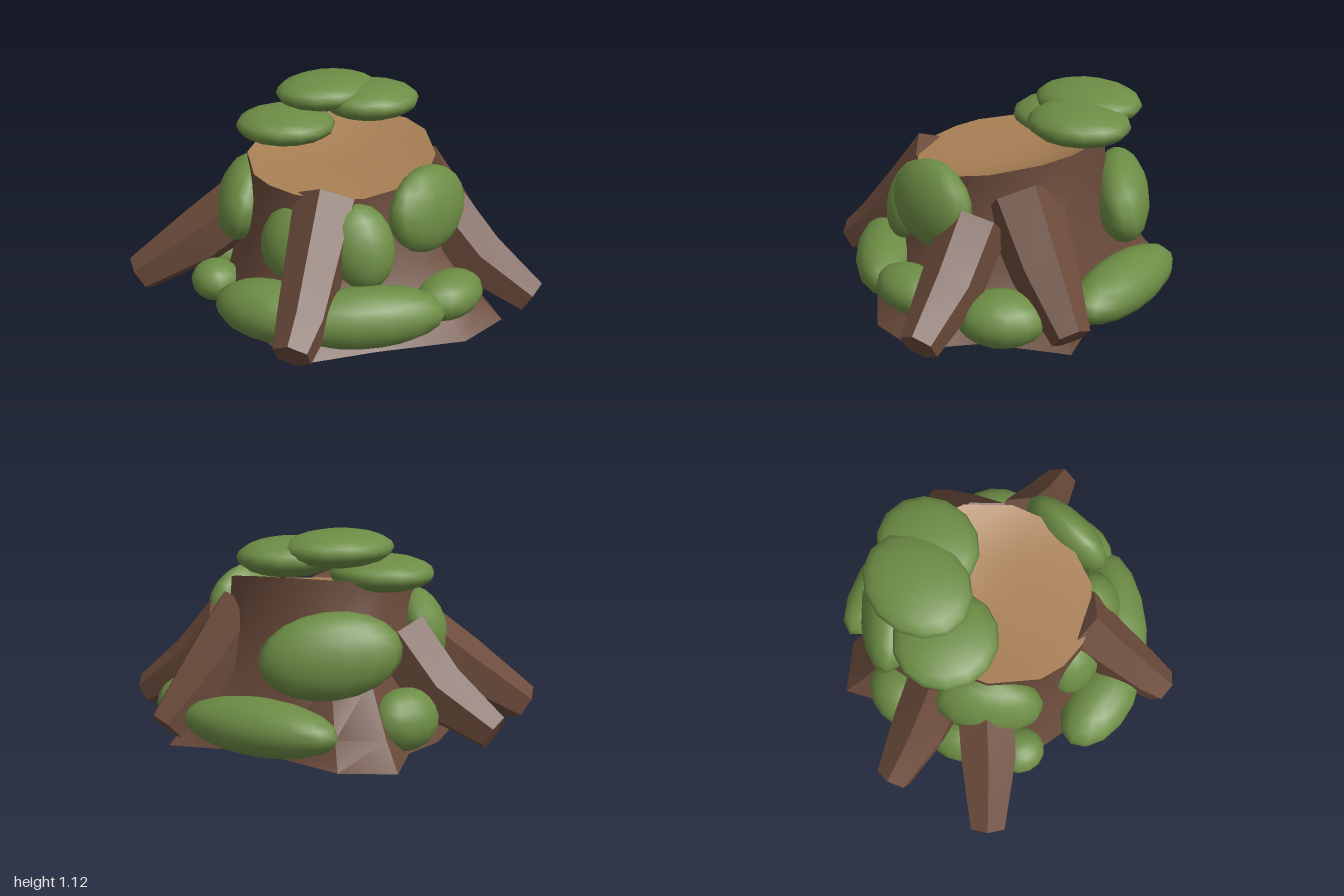
import * as THREE from 'three';
import { toCreasedNormals } from 'three/addons/utils/BufferGeometryUtils.js';

// Skin between equal rings of points, with optional fan caps at both ends
function loft(rings, capStart, capEnd, crease) {
  const n = rings[0].length, pos = [], idx = [];
  rings.forEach(r => r.forEach(p => pos.push(p.x, p.y, p.z)));
  for (let i = 0; i < rings.length - 1; i++) {
    for (let j = 0; j < n; j++) {
      const a = i * n + j, b = i * n + (j + 1) % n;
      idx.push(a, b, b + n, a, b + n, a + n);
    }
  }
  const cap = (i, flip) => {
    const c = rings[i].reduce((s, p) => s.add(p), new THREE.Vector3()).divideScalar(n);
    const k = pos.length / 3;
    pos.push(c.x, c.y, c.z);
    for (let j = 0; j < n; j++) {
      const a = i * n + j, b = i * n + (j + 1) % n;
      if (flip) idx.push(k, b, a); else idx.push(k, a, b);
    }
  };
  if (capStart) cap(0, true);
  if (capEnd) cap(rings.length - 1, false);
  const g = new THREE.BufferGeometry();
  g.setAttribute('position', new THREE.Float32BufferAttribute(pos, 3));
  g.setIndex(idx);
  return toCreasedNormals(g, crease);
}

// Six-sided tapering root along a bent path of [x, y, z, radius]
function rootGeometry(path) {
  const pts = path.map(p => new THREE.Vector3(p[0], p[1], p[2]));
  const rings = pts.map((c, i) => {
    const d = pts[Math.min(i + 1, pts.length - 1)].clone().sub(pts[Math.max(i - 1, 0)]).normalize();
    const v = new THREE.Vector3().crossVectors(d, new THREE.Vector3(0, 1, 0)).normalize();
    const u = new THREE.Vector3().crossVectors(v, d);
    return Array.from({ length: 6 }, (_, k) => {
      const a = k * Math.PI / 3, r = path[i][3];
      return c.clone().addScaledVector(u, r * Math.cos(a)).addScaledVector(v, r * Math.sin(a));
    });
  });
  return loft(rings, true, true, 0.2);
}

export function createModel() {
  const group = new THREE.Group();
  const material = (name, color) => {
    const m = new THREE.MeshStandardMaterial({ color });
    m.name = name;
    return m;
  };
  const bark = material('bark brown', 0x6b4b3b);
  const wood = material('cut wood tan', 0xa87f54);
  const moss = material('moss green', 0x6d8d45);
  const add = (name, geometry, mat) => {
    const mesh = new THREE.Mesh(geometry, mat);
    mesh.name = name;
    group.add(mesh);
    return mesh;
  };

  // Trunk: irregular flared foot blending into a round, slanted rim
  const foot = [
    [0, 0.68], [0.25, 0.73], [0.5, 0.72], [0.66, 0.4], [0.9, 0], [0.88, -0.32],
    [0.58, -0.48], [0.3, -0.83], [0, -0.64], [-0.3, -0.56], [-0.62, -0.52],
    [-0.83, -0.32], [-0.66, -0.05], [-0.64, 0.2], [-0.52, 0.46], [-0.2, 0.66],
  ];
  const rimHeight = (x, z) => 0.8 - 0.1 * x - 0.13 * z + 0.08 * z * z;
  const levels = [[0, 0], [0.15, 0.3], [0.45, 0.73], [0.8, 0.98], [1, 1]];
  const rings = levels.map(([t, blend]) => foot.map(([x, z]) => {
    const a = Math.atan2(x, z);
    const rx = 0.03 + 0.49 * Math.sin(a), rz = 0.02 + 0.51 * Math.cos(a);
    return new THREE.Vector3(x + (rx - x) * blend, rimHeight(rx, rz) * t, z + (rz - z) * blend);
  }));
  add('trunk', loft(rings, true, false, 0.6), bark);

  // Cut face, dished toward the middle
  const rim = rings[rings.length - 1];
  const dish = [1, 0.75, 0.4].map((s, i) => rim.map(p => new THREE.Vector3(
    p.x * s, 0.75 + (p.y - 0.75) * [1, 0.55, 0.15][i], p.z * s)));
  add('cutTop', loft(dish, false, true, 0.7), wood);

  // Roots, steep by the rim and flatter toward the tip
  const roots = {
    frontLeftRoot: [[0.26, 0.67, 0.34, 0.18], [0.36, 0.43, 0.53, 0.155], [0.46, 0.21, 0.71, 0.135], [0.53, 0.1, 0.85, 0.1]],
    frontRightRoot: [[-0.35, 0.52, 0.35, 0.17], [-0.5, 0.33, 0.55, 0.165], [-0.73, 0.11, 0.81, 0.105]],
    rightRoot: [[-0.43, 0.55, 0.11, 0.18], [-0.65, 0.28, 0.18, 0.17], [-0.95, 0.105, 0.27, 0.1]],
    leftRoot: [[0.46, 0.55, -0.26, 0.17], [0.68, 0.29, -0.35, 0.16], [0.95, 0.105, -0.47, 0.1]],
    backRoot: [[0.23, 0.64, -0.33, 0.2], [0.27, 0.35, -0.58, 0.17], [0.31, 0.1, -0.84, 0.1]],
  };
  for (const [name, path] of Object.entries(roots)) add(name, rootGeometry(path), bark);

  // Flat moss pads stacked on the rim: centre, then radii
  const blob = new THREE.SphereGeometry(1, 14, 10);
  const caps = [
    [-0.31, 1.03, -0.21, 0.255, 0.095, 0.31],
    [-0.12, 0.985, -0.36, 0.255, 0.1, 0.28],
    [-0.36, 0.88, 0.06, 0.275, 0.095, 0.27],
  ];
  caps.forEach(([x, y, z, rx, ry, rz], i) => {
    const m = add('topMoss' + (i + 1), blob, moss);
    m.position.set(x, y, z);
    m.scale.set(rx, ry, rz);
  });

  // Moss patches facing outward: centre, width, height, depth, lean, roll
  const patches = [
    [-0.35, 0.55, 0.38, 0.29, 0.22, 0.14, -0.3, -0.2],
    [-0.33, 0.14, 0.61, 0.14, 0.11, 0.13, 0, 0],
    [0.16, 0.48, 0.48, 0.18, 0.21, 0.13, -0.3, -0.3],
    [0.47, 0.49, 0.32, 0.17, 0.22, 0.13, -0.3, 0.2],
    [0.58, 0.62, -0.05, 0.28, 0.22, 0.12, -0.15, 0],
    [0.59, 0.17, 0.4, 0.41, 0.155, 0.17, 0, 0],
    [0.2, 0.17, 0.69, 0.31, 0.15, 0.18, 0, 0],
    [0.73, 0.185, -0.06, 0.22, 0.12, 0.15, 0, 0],
    [0.5, 0.14, -0.53, 0.23, 0.14, 0.18, 0, 0],
    [-0.2, 0.17, -0.65, 0.44, 0.145, 0.17, 0, 0],
    [-0.42, 0.52, -0.37, 0.36, 0.22, 0.15, -0.2, 0.12],
    [-0.64, 0.18, -0.06, 0.2, 0.16, 0.14, -0.2, 0],
    [-0.54, 0.18, 0.36, 0.18, 0.14, 0.12, -0.2, 0],
  ];
  patches.forEach(([x, y, z, w, h, d, lean, roll], i) => {
    const m = add('sideMoss' + (i + 1), blob, moss);
    m.position.set(x, y, z);
    m.rotation.set(lean, Math.atan2(x, z), roll, 'YXZ');
    m.scale.set(w, h, d);
  });
  return group;
}
